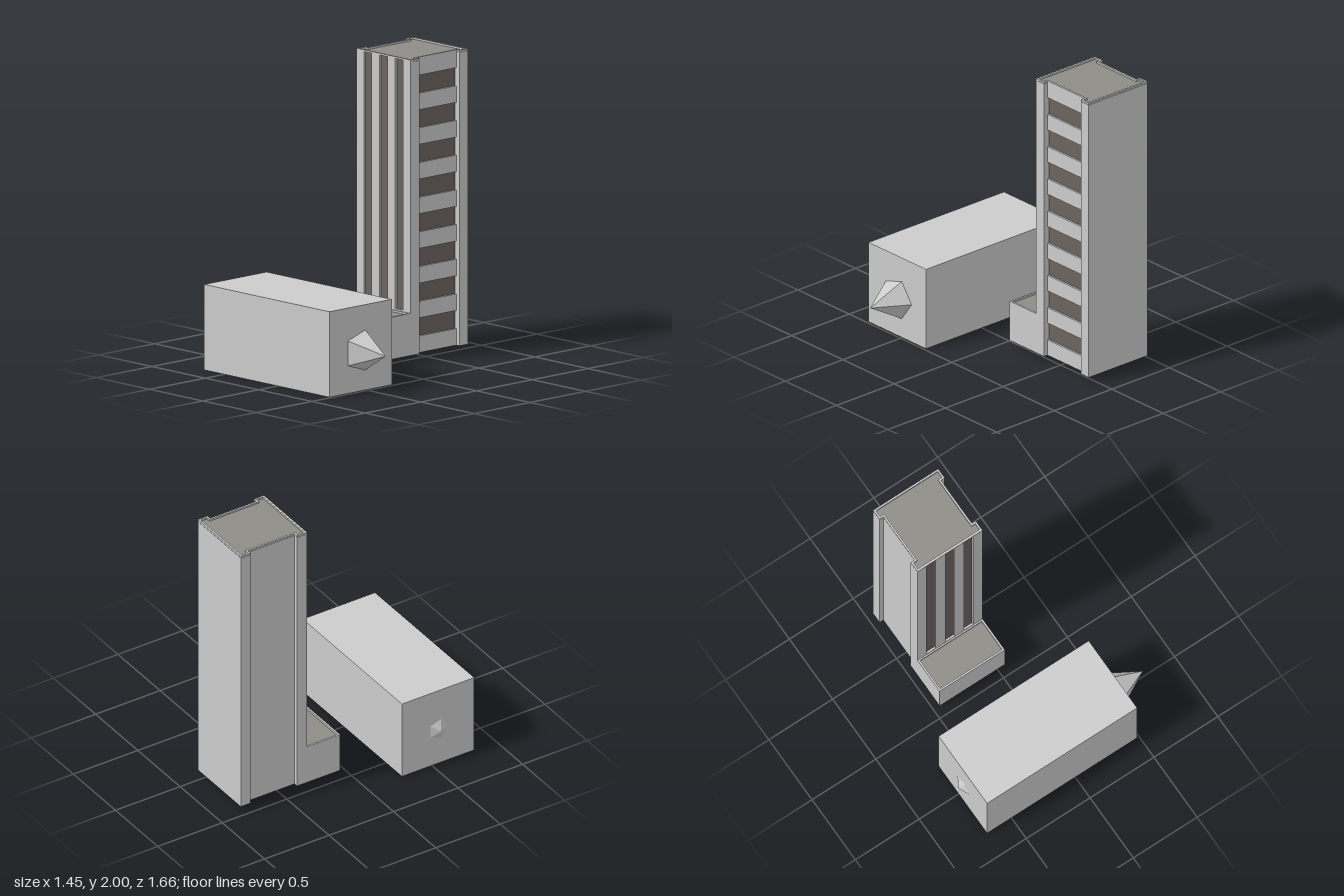
import * as THREE from 'three';

const grey = new THREE.MeshStandardMaterial({ color: 0xcccccc, flatShading: true });
const glass = new THREE.MeshStandardMaterial({ color: 0x6b645e, flatShading: true });
const roofing = new THREE.MeshStandardMaterial({ color: 0x8e8c86, flatShading: true });

export function createModel() {
  const model = new THREE.Group();

  function add(parent, name, geometry, material = grey) {
    const mesh = new THREE.Mesh(geometry, material);
    mesh.name = name;
    parent.add(mesh);
    return mesh;
  }

  // Box given by its lower and upper limits on each axis
  function box(x0, x1, y0, y1, z0, z1) {
    return new THREE.BoxGeometry(x1 - x0, y1 - y0, z1 - z0)
      .translate((x0 + x1) / 2, (y0 + y1) / 2, (z0 + z1) / 2);
  }

  const points = (list) => list.map(([x, y]) => new THREE.Vector2(x, y));
  const rect = (x0, x1, y0, y1) => [[x0, y0], [x1, y0], [x1, y1], [x0, y1]];

  function extrude(outline, holes, depth) {
    const shape = new THREE.Shape(points(outline));
    holes.forEach((h) => shape.holes.push(new THREE.Path(points(h))));
    return new THREE.ExtrudeGeometry(shape, { depth, bevelEnabled: false });
  }

  // Upright prism from a plan in (x, -z)
  const prism = (plan, holes, y0, y1) =>
    extrude(plan, holes, y1 - y0).rotateX(-Math.PI / 2).translate(0, y0, 0);

  // I-shaped tower plan, shrunk by d on every side; e recesses the right wall
  const towerPlan = (d = 0, e = 0) => [
    [-0.46 + d, 0.318 + d], [0.05 - d, 0.318 + d], [0.05 - d, 0.395 - d], [0.02 - d - e, 0.395 - d],
    [0.02 - d - e, 0.755 + d], [0.05 - d, 0.755 + d], [0.05 - d, 0.83 - d], [-0.46 + d, 0.83 - d],
    [-0.46 + d, 0.755 + d], [-0.43 + d, 0.755 + d], [-0.43 + d, 0.395 - d], [-0.46 + d, 0.395 - d],
  ];
  const rim = 0.013, base = 0.04, top = 2, roofY = 1.988;

  // Tower core, with its front and right wall set back behind the facades
  const tower = new THREE.Group();
  tower.name = 'tower';
  model.add(tower);
  const core = towerPlan(0, 0.015);
  core[0][1] = core[1][1] = 0.333;
  add(tower, 'towerCore', prism(core, [], base, roofY - 0.002));
  add(tower, 'towerParapet', prism(towerPlan(), [towerPlan(rim)], roofY, top));
  add(tower, 'towerRoof', prism(towerPlan(rim), [], roofY - 0.002, roofY), roofing);

  // Front facade with three tall window strips
  const strips = [-0.39, -0.242, -0.095].map((x) => [x, x + 0.073]);
  const slots = strips.map(([x0, x1]) => rect(x0, x1, 0.33, roofY));
  add(tower, 'frontFacade', extrude(rect(-0.46, 0.05, base, top - 0.001), slots, 0.016)
    .translate(0, 0, -0.333));
  strips.forEach(([x0, x1]) =>
    add(tower, 'frontWindowStrip', box(x0, x1, 0.33, roofY, -0.334, -0.331), glass));

  // Right side: eight recessed windows between wall bands
  const floors = 8, pitch = 0.23, windowHeight = 0.12, firstSill = 0.15;
  for (let i = 0; i <= floors; i++) {
    const sill = firstSill + i * pitch;
    const y0 = i === 0 ? base : sill - pitch + windowHeight;
    const y1 = i === floors ? roofY : sill;
    add(tower, 'wallBand', box(0.004, 0.02, y0, y1, -0.755, -0.395));
    if (i < floors) {
      add(tower, 'sideWindow', box(0.003, 0.007, sill, sill + windowHeight, -0.755, -0.395), glass);
    }
  }

  // Low annex in front of the tower, with a rimmed roof
  const annex = new THREE.Group();
  annex.name = 'annex';
  model.add(annex);
  const annexPlan = (d) => rect(-0.46 + d, 0.05 - d, 0.06 + d, 0.32 - d);
  add(annex, 'annexBody', prism(annexPlan(0), [], base, 0.306));
  add(annex, 'annexParapet', prism(annexPlan(0), [annexPlan(rim)], 0.306, 0.32));
  add(annex, 'annexRoof', prism(annexPlan(rim), [], 0.306, 0.308), roofing);

  // Long block with a five-sided spike at each end
  add(model, 'block', box(-0.69, 0.485, 0, 0.567, 0.268, 0.828));
  function spike(name, side, radius, baseX, tipX) {
    const length = Math.abs(tipX - baseX);
    const cone = new THREE.ConeGeometry(radius, length, 5);
    if (side > 0) cone.rotateY(Math.PI);
    cone.rotateZ(-side * Math.PI / 2).translate((baseX + tipX) / 2, 0.266, 0.548);
    add(model, name, cone);
  }
  spike('leftSpike', 1, 0.14, 0.485, 0.72);
  spike('rightSpike', -1, 0.075, -0.69, -0.725);

  return model;
}
